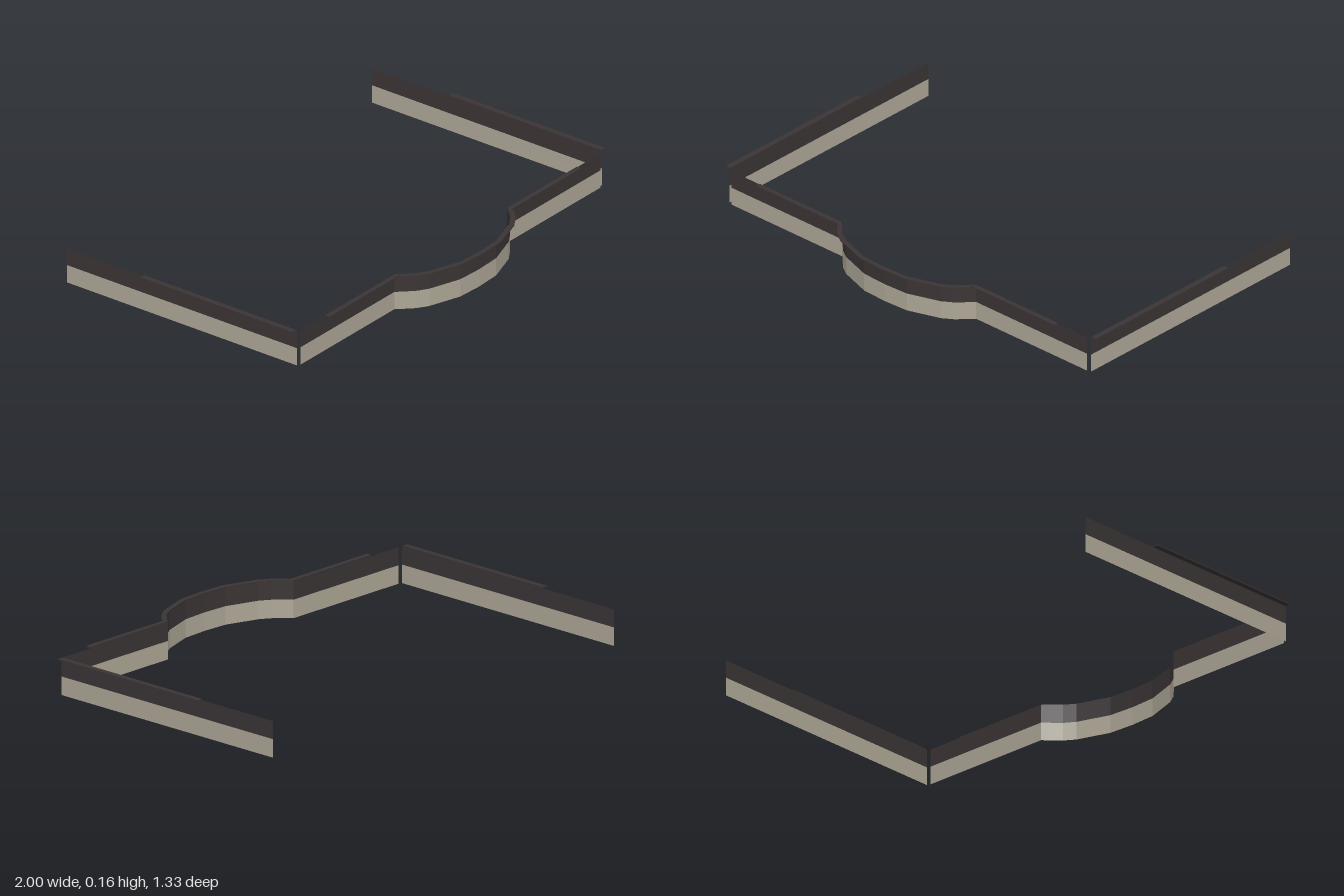
import * as THREE from 'three';

const skirtMat = new THREE.MeshStandardMaterial({ color: 0xaea797, side: THREE.DoubleSide });
skirtMat.name = 'beige skirt';
const bandMat = new THREE.MeshStandardMaterial({ color: 0x3b3435, side: THREE.DoubleSide });
bandMat.name = 'dark band';

const MID = 0.077, TOP = 0.152, LEDGE_TOP = 0.157;

// Faceted vertical sheet along a path of [x, z] points, outside on the path's left-to-right front
function wallGeometry(path, y0, y1) {
  const pos = [];
  for (let i = 0; i < path.length - 1; i++) {
    const [ax, az] = path[i], [bx, bz] = path[i + 1];
    pos.push(ax, y0, az, bx, y0, bz, bx, y1, bz, ax, y0, az, bx, y1, bz, ax, y1, az);
  }
  const geo = new THREE.BufferGeometry();
  geo.setAttribute('position', new THREE.Float32BufferAttribute(pos, 3));
  geo.computeVertexNormals();
  return geo;
}

// Thin flat ledge following a path, reaching outward from inner to outer distance
function ledgeGeometry(path, inner, outer) {
  const offset = (d) => path.map(([x, z], i) => {
    const a = path[Math.max(i - 1, 0)], b = path[Math.min(i + 1, path.length - 1)];
    const dx = b[0] - a[0], dz = b[1] - a[1], len = Math.hypot(dx, dz);
    return new THREE.Vector2(x - (dz / len) * d, -(z + (dx / len) * d));
  });
  const shape = new THREE.Shape([...offset(inner), ...offset(outer).reverse()]);
  const geo = new THREE.ExtrudeGeometry(shape, { depth: LEDGE_TOP - TOP, bevelEnabled: false });
  geo.rotateX(-Math.PI / 2);
  geo.translate(0, TOP, 0);
  return geo;
}

function part(name, geo, mat) {
  const mesh = new THREE.Mesh(geo, mat);
  mesh.name = name;
  return mesh;
}

function wall(name, path, ledgePath, inner, outer) {
  const g = new THREE.Group();
  g.name = name;
  g.add(
    part(name + 'Skirt', wallGeometry(path, 0, MID), skirtMat),
    part(name + 'Band', wallGeometry(path, MID, TOP), bandMat),
    part(name + 'Ledge', ledgeGeometry(ledgePath, inner, outer), bandMat),
  );
  return g;
}

export function createModel() {
  const model = new THREE.Group();
  model.name = 'wallTrim';

  // Front wall with a bowed middle, mirrored about x = 0
  const half = [[0.36, 0.493], [0.34, 0.515], [0.30, 0.555], [0.255, 0.584], [0.115, 0.631]];
  const bow = [...half.map(([x, z]) => [-x, z]), [0, 0.637], ...half.slice().reverse()];
  const front = (end) => [[-end, 0.493], ...bow, [end, 0.493]];
  model.add(wall('frontWall', front(0.96), front(0.805), 0.002, 0.023));

  // Straight side walls, with ledges on their forward part only
  const x = 0.976;
  model.add(wall('leftWall', [[x, 0.488], [x, -0.665]], [[x, 0.483], [x, -0.278]], 0, 0.024));
  model.add(wall('rightWall', [[-x, -0.665], [-x, 0.488]], [[-x, -0.278], [-x, 0.483]], 0, 0.024));

  return model;
}
